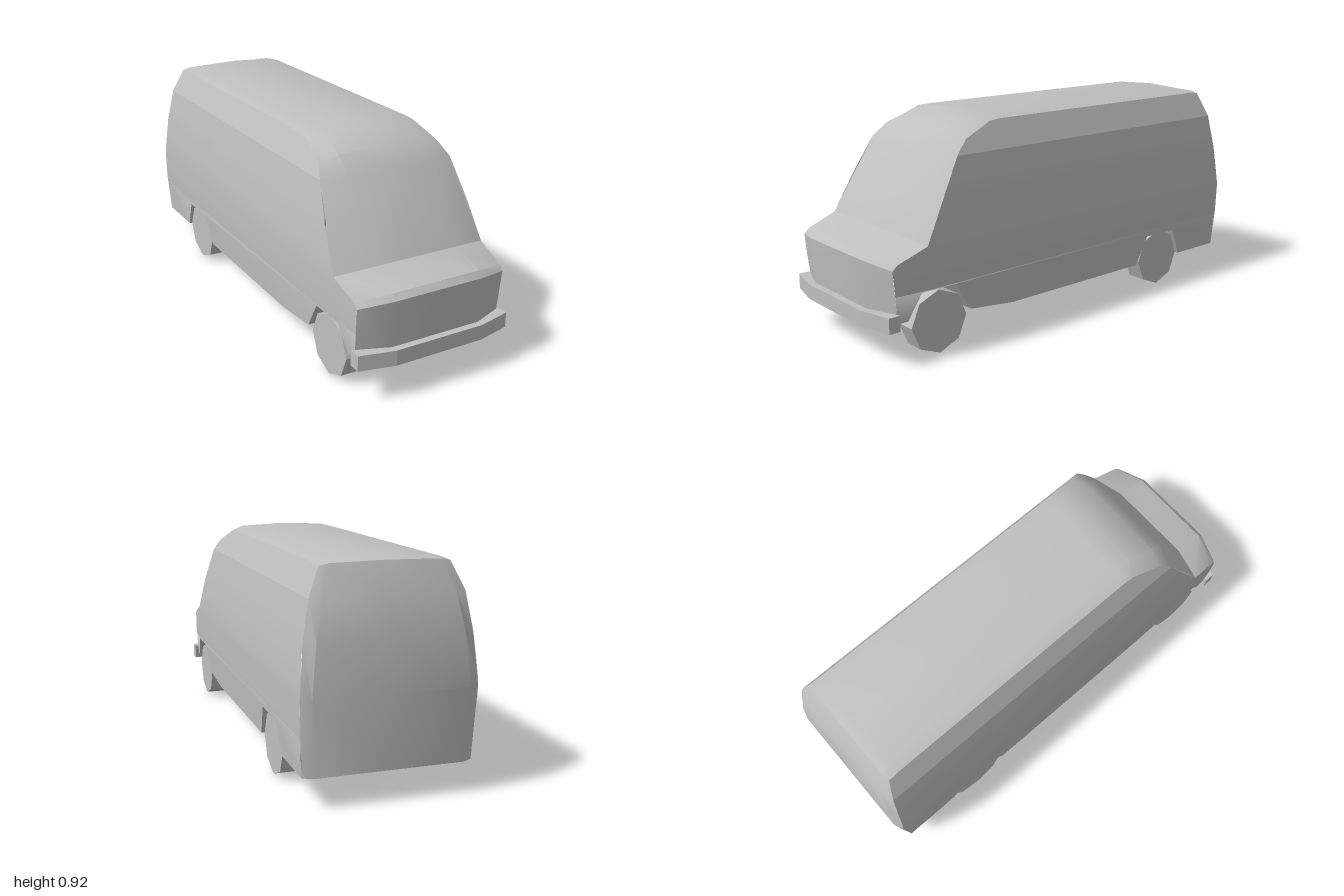
import * as THREE from 'three';
import { toCreasedNormals } from 'three/addons/utils/BufferGeometryUtils.js';

const paint = new THREE.MeshStandardMaterial({ color: 0xc0c0c0, side: THREE.DoubleSide });
paint.name = 'plain grey';

// Piecewise linear lookup in [key, value] pairs sorted by key
function lookup(table, k) {
  if (k <= table[0][0]) return table[0][1];
  for (let i = 1; i < table.length; i++) {
    const [a, va] = table[i - 1], [b, vb] = table[i];
    if (k <= b) return va + (vb - va) * (k - a) / (b - a);
  }
  return table[table.length - 1][1];
}

// Surface through rows of [x, y, z] points
function loft(rows, crease) {
  const n = rows[0].length, index = [];
  for (let i = 0; i < rows.length - 1; i++) {
    for (let j = 0; j < n - 1; j++) {
      const a = i * n + j, b = a + 1, c = a + n, d = c + 1;
      index.push(a, b, c, b, d, c);
    }
  }
  const g = new THREE.BufferGeometry();
  g.setAttribute('position', new THREE.Float32BufferAttribute(rows.flat(2), 3));
  g.setIndex(index);
  return toCreasedNormals(g, crease);
}

// Half width of the body at height y, drawn in slightly towards the nose
const widths = [[0.125, 0.338], [0.21, 0.345], [0.3, 0.35], [0.46, 0.35],
  [0.62, 0.333], [0.775, 0.305], [0.89, 0.255]];
const noseTaper = [[0.77, 0], [0.93, 0.011]];
const halfWidth = (y, z) => lookup(widths, y) - lookup(noseTaper, z);

// Long profile, nose to tail: edge z, edge y, middle z, middle y, middle half width, crown
const profile = [
  [0.915, 0.17, 0.965, 0.17, 0.2, 0],
  [0.92, 0.21, 0.97, 0.21, 0.2, 0],
  [0.935, 0.385, 0.98, 0.405, 0.2, 0],
  [0.915, 0.405, 0.958, 0.429, 0.2, 0],
  [0.78, 0.455, 0.81, 0.473, 0.2, 0],
  [0.6, 0.775, 0.635, 0.78, 0.2, 0],
  [0.54, 0.83, 0.56, 0.85, 0.2, 0.003],
  [0.4, 0.885, 0.43, 0.903, 0.2, 0.009],
  [0.35, 0.89, 0.35, 0.905, 0.2, 0.01],
  [-0.85, 0.89, -0.85, 0.905, 0.2, 0.01],
  [-0.905, 0.885, -0.91, 0.893, 0.22, 0.004],
  [-0.94, 0.775, -0.96, 0.775, 0.26, 0],
  [-0.96, 0.62, -0.985, 0.62, 0.29, 0],
  [-0.98, 0.42, -1, 0.42, 0.31, 0],
  [-0.965, 0.125, -0.985, 0.125, 0.3, 0],
];
const frontEdge = profile.slice(0, 9).map((p) => [p[1], p[0]]);
const rearEdge = profile.slice(9).map((p) => [p[1], p[0]]).reverse();

// Wheel arch outlines as [z, y]
const frontArch = [[0.87, 0.17], [0.81, 0.275], [0.65, 0.275], [0.57, 0.15]];
const rearArch = [[-0.41, 0.125], [-0.47, 0.255], [-0.65, 0.255], [-0.71, 0.125]];
const WELL = 0.22;

// Flat outline of [z, y] points facing outwards on side s
const sideShape = (points, s) =>
  new THREE.ShapeGeometry(new THREE.Shape(points.map(([z, y]) => new THREE.Vector2(-s * z, y))));

export function createModel() {
  const model = new THREE.Group();
  const add = (name, geometry) => {
    const mesh = new THREE.Mesh(geometry, paint);
    mesh.name = name;
    model.add(mesh);
    return mesh;
  };

  // Nose, bonnet, windscreen, roof and tail as one skin, open below
  add('bodySkin', loft(profile.map(([ez, ey, mz, my, mx, crown]) => {
    const w = halfWidth(ey, ez);
    return [[-w, ey, ez], [-mx, my, mz], [0, my + crown, mz], [mx, my, mz], [w, ey, ez]];
  }), 0.5));

  // Side walls: curved upper panel, lower panel with arches
  const split = 0.28;
  const levels = [split, 0.3, 0.385, 0.405, 0.42, 0.455, 0.54, 0.62, 0.7, 0.775, 0.83, 0.885, 0.89];
  const outline = [[lookup(frontEdge, split), split], [0.92, 0.21], [0.915, 0.17], ...frontArch,
    [0.35, 0.125], ...rearArch, [-0.965, 0.125], [lookup(rearEdge, split), split]];
  for (const [side, s] of [['left', 1], ['right', -1]]) {
    add(side + 'UpperSide', loft(levels.map((y) => {
      const a = lookup(frontEdge, y), b = lookup(rearEdge, y);
      const row = [a, Math.min(a - 0.01, 0.77), b].map((z) => [s * halfWidth(y, z), y, z]);
      return s > 0 ? row : row.reverse();
    }), 0.2));

    const lower = sideShape(outline, s);
    const pos = lower.attributes.position;
    for (let i = 0; i < pos.count; i++) {
      const z = -s * pos.getX(i), y = pos.getY(i);
      pos.setXYZ(i, s * halfWidth(y, z), y, z);
    }
    lower.computeVertexNormals();
    add(side + 'LowerSide', lower);

    // Wheel wells: arch lining and inner wall
    for (const [end, arch] of [['Front', frontArch], ['Rear', rearArch]]) {
      add(side + end + 'WheelWell',
        loft(arch.map(([z, y]) => [[s * WELL, y, z], [s * halfWidth(y, z), y, z]]), 0.2));
      const wall = sideShape(arch, s);
      wall.rotateY(s * Math.PI / 2);
      wall.translate(s * WELL, 0, 0);
      add(side + end + 'WellWall', wall);
    }
  }

  // Bumper bent around the nose
  const plan = [[-0.35, 0.965], [-0.2, 1], [0.2, 1], [0.35, 0.965],
    [0.35, 0.915], [0.2, 0.95], [-0.2, 0.95], [-0.35, 0.915]];
  const bumper = new THREE.ExtrudeGeometry(new THREE.Shape(plan.map(([x, z]) => new THREE.Vector2(x, -z))),
    { depth: 0.065, bevelEnabled: false });
  bumper.rotateX(-Math.PI / 2);
  bumper.translate(0, 0.145, 0);
  add('frontBumper', bumper);

  // Eight-sided wheels
  const wheel = toCreasedNormals(new THREE.CylinderGeometry(0.132, 0.132, 0.087, 8).rotateZ(Math.PI / 2), 0.1);
  for (const [end, z] of [['front', 0.72], ['rear', -0.565]]) {
    for (const [side, s] of [['Left', 1], ['Right', -1]]) {
      add(end + side + 'Wheel', wheel).position.set(s * 0.287, 0.132, z);
    }
  }
  return model;
}
